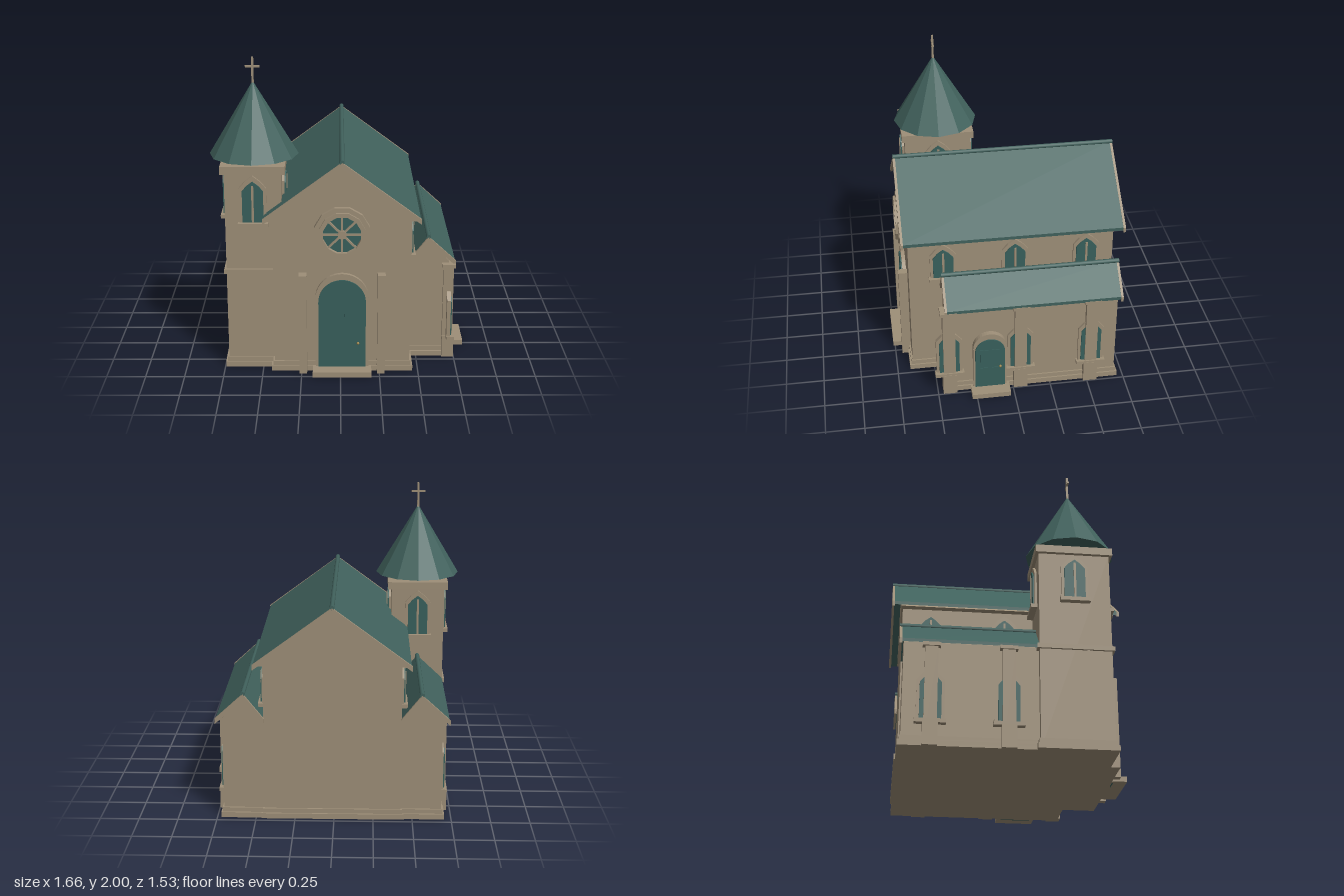
import * as THREE from 'three';

const mat = (name, color) => {
  const m = new THREE.MeshStandardMaterial({ color });
  m.name = name;
  return m;
};

export function createModel() {
  const root = new THREE.Group();
  root.name = 'church';
  const stone = mat('stone', 0x9e8f78);
  const slate = mat('slate green', 0x41625d);
  const paint = mat('door and glass green', 0x38605c);
  const brass = mat('brass', 0xa08850);
  const CX = 0.01; // nave centre line

  const add = (name, geo, m, parent = root) => {
    const mesh = new THREE.Mesh(geo, m);
    mesh.name = name;
    parent.add(mesh);
    return mesh;
  };
  // Box from its min and max along each axis
  const box = (name, x0, x1, y0, y1, z0, z1, m = stone, parent = root) => {
    const b = add(name, new THREE.BoxGeometry(Math.abs(x1 - x0), y1 - y0, z1 - z0), m, parent);
    b.position.set((x0 + x1) / 2, (y0 + y1) / 2, (z0 + z1) / 2);
    return b;
  };
  const poly = pts => new THREE.Shape(pts.map(p => new THREE.Vector2(...p)));
  const slab = (name, shape, z0, z1, m = stone, parent = root) => {
    const geo = new THREE.ExtrudeGeometry(shape, { depth: z1 - z0, bevelEnabled: false, curveSegments: 10 });
    return add(name, geo.translate(0, 0, z0), m, parent);
  };
  const group = (name, x, y, z, rotY = 0) => {
    const g = new THREE.Group();
    g.name = name;
    g.position.set(x, y, z);
    g.rotation.y = rotY;
    root.add(g);
    return g;
  };

  // Two-step plinth around a rectangular block
  const plinth = (name, x0, x1, z0, z1) => {
    box(name + 'PlinthLower', x0 - 0.02, x1 + 0.02, 0, 0.035, z0 - 0.02, z1 + 0.02);
    box(name + 'PlinthUpper', x0 - 0.01, x1 + 0.01, 0.035, 0.065, z0 - 0.01, z1 + 0.01);
  };

  // Pointed window, facing +z before turning; y is the underside of the sill
  const pointed = (w, y0, h) => poly([[-w, y0], [w, y0], [w, h - w * 0.95], [w * 0.55, h - w * 0.42],
    [0, h], [-w * 0.55, h - w * 0.42], [-w, h - w * 0.95]]);
  const lancet = (name, x, y, z, rotY, h) => {
    const g = group(name, x, y, z, rotY);
    slab('windowFrame', pointed(0.085, 0.02, h), -0.01, 0.015, stone, g);
    slab('windowGlass', pointed(0.066, 0.028, h - 0.035), 0.01, 0.024, paint, g);
    box('windowMullion', -0.007, 0.007, 0.028, h - 0.06, 0.01, 0.03, stone, g);
    box('windowSill', -0.095, 0.095, 0, 0.025, -0.01, 0.04, stone, g);
  };

  // Round-headed doorway with panels, knob and step
  const arch = (w, h) => {
    const s = new THREE.Shape();
    s.moveTo(-w, 0).lineTo(w, 0).lineTo(w, h - w);
    s.absarc(0, h - w, w, 0, Math.PI, false);
    s.closePath();
    return s;
  };
  const doorway = (name, x, z, rotY, w, h, step, stepDepth) => {
    const g = group(name, x, 0, z, rotY);
    slab('doorFrame', arch(w, h), -0.01, 0.025, stone, g);
    slab('door', arch(w * 0.89, h - 0.04), 0.02, 0.033, paint, g);
    for (const s of [-1, 1]) {
      box('doorPanel', s * w * 0.1, s * w * 0.6, h * 0.48, h * 0.74, 0.033, 0.037, paint, g);
      box('doorPanel', s * w * 0.1, s * w * 0.6, h * 0.14, h * 0.42, 0.033, 0.037, paint, g);
    }
    const knob = add('doorKnob', new THREE.SphereGeometry(0.009, 10, 8), brass, g);
    knob.position.set(w * 0.6, 0.205, 0.045);
    box('doorStep', -step, step, 0, 0.035, -0.01, stepDepth, stone, g);
  };

  // Pitched roof: slate chevron, stone verge at both ends, ridge roll
  const roof = (name, cx, left, right, ridge, eave, z0, z1) => {
    const chevron = (drop, out) => poly([[cx - left - out, eave], [cx, ridge], [cx + right + out, eave],
      [cx + right + out, eave - drop], [cx, ridge - drop - 0.008], [cx - left - out, eave - drop]]);
    slab(name + 'Slates', chevron(0.022, 0), z0 + 0.014, z1 - 0.014, slate);
    for (const z of [z0, z1 - 0.016]) slab(name + 'Verge', chevron(0.034, 0.005), z, z + 0.016);
    const roll = add(name + 'Ridge', new THREE.CylinderGeometry(0.015, 0.015, z1 - z0, 8), slate);
    roll.rotation.x = Math.PI / 2;
    roll.position.set(cx, ridge, (z0 + z1) / 2);
  };

  // Nave
  box('naveWalls', -0.425, 0.445, 0, 1.02, -0.7, 0.645);
  plinth('nave', -0.425, 0.445, -0.7, 0.645);
  slab('naveGable', poly([[CX - 0.48, 1.02], [CX + 0.48, 1.02], [CX, 1.385]]), -0.71, 0.655);
  roof('naveRoof', CX, 0.49, 0.49, 1.412, 1.045, -0.768, 0.69);

  // Aisles on both sides, with clerestory windows above
  const windowZ = [0.42, -0.05, -0.52];
  for (const s of [1, -1]) {
    const label = s > 0 ? 'leftAisle' : 'rightAisle';
    const X = d => CX + s * d;
    slab(label + 'Walls', poly([[X(0.42), 0], [X(0.695), 0], [X(0.695), 0.67], [X(0.56), 0.815],
      [X(0.44), 0.66], [X(0.42), 0.66]]), -0.69, 0.43);
    plinth(label, Math.min(X(0.42), X(0.695)), Math.max(X(0.42), X(0.695)), -0.69, 0.43);
    roof(label + 'Roof', X(0.56), s > 0 ? 0.125 : 0.175, s > 0 ? 0.175 : 0.125, 0.84, 0.675, -0.716, 0.445);
    for (const z of windowZ) {
      lancet('clerestoryWindow', X(0.435), 0.72, z, s * Math.PI / 2, 0.275);
      if (s < 0 && z > 0.2) continue; // the tower stands here
      lancet(label + 'Window', X(0.695), 0.14, z, s * Math.PI / 2, 0.36);
      box('buttress', X(0.66), X(0.727), 0, 0.65, z - 0.04, z + 0.04);
      box('buttressBase', X(0.66), X(0.737), 0, 0.15, z - 0.046, z + 0.046);
      box('buttressCap', X(0.65), X(0.738), 0.635, 0.658, z - 0.055, z + 0.055);
    }
  }
  doorway('sideDoor', 0.715, 0.155, Math.PI / 2, 0.11, 0.46, 0.128, 0.112);

  // West front: main door, flanking pilasters
  doorway('mainDoor', CX, 0.645, 0, 0.17, 0.675, 0.188, 0.117);
  for (const s of [-1, 1]) box('frontPilaster', CX + s * 0.225, CX + s * 0.275, 0, 0.675, 0.63, 0.705);

  // Rose window
  const ngon = r => Array.from({ length: 12 }, (_, i) =>
    [r * Math.cos((i + 0.5) * Math.PI / 6), r * Math.sin((i + 0.5) * Math.PI / 6)]);
  const rose = group('roseWindow', CX, 0.943, 0.645);
  for (const [ro, ri, depth] of [[0.18, 0.148, 0.04], [0.15, 0.122, 0.055]]) {
    const ring = poly(ngon(ro));
    ring.holes.push(poly(ngon(ri)));
    slab('roseRing', ring, -0.01, depth, stone, rose);
  }
  slab('roseGlass', poly(ngon(0.13)), 0, 0.025, paint, rose);
  for (let i = 0; i < 4; i++) {
    box('roseSpoke', -0.125, 0.125, -0.006, 0.006, 0.02, 0.04, stone, rose).rotation.z = i * Math.PI / 4;
  }
  const hub = add('roseHub', new THREE.CylinderGeometry(0.028, 0.028, 0.03, 12), stone, rose);
  hub.rotation.x = Math.PI / 2;
  hub.position.z = 0.032;

  // Bell tower
  const TX = -0.548, TZ = 0.36;
  box('towerWalls', -0.725, -0.37, 0, 1.32, 0.135, 0.585);
  plinth('tower', -0.725, -0.37, 0.135, 0.585);
  box('towerBelt', -0.74, -0.355, 0.648, 0.678, 0.12, 0.6);
  box('towerCornice', -0.75, -0.345, 1.31, 1.36, 0.115, 0.605);
  lancet('towerWindow', TX, 0.97, 0.585, 0, 0.33);
  lancet('towerWindow', TX, 0.97, 0.135, Math.PI, 0.33);
  lancet('towerWindow', -0.725, 0.97, TZ, -Math.PI / 2, 0.33);
  lancet('towerWindow', -0.37, 0.97, TZ, Math.PI / 2, 0.33);
  const spire = add('spire', new THREE.ConeGeometry(0.283, 0.47, 12).toNonIndexed(), slate);
  spire.geometry.computeVertexNormals(); // crisp facets
  spire.position.set(TX, 1.615, TZ);
  box('crossPost', TX - 0.007, TX + 0.007, 1.83, 2, TZ - 0.007, TZ + 0.007);
  box('crossArm', TX - 0.046, TX + 0.046, 1.934, 1.948, TZ - 0.006, TZ + 0.006);

  return root;
}
